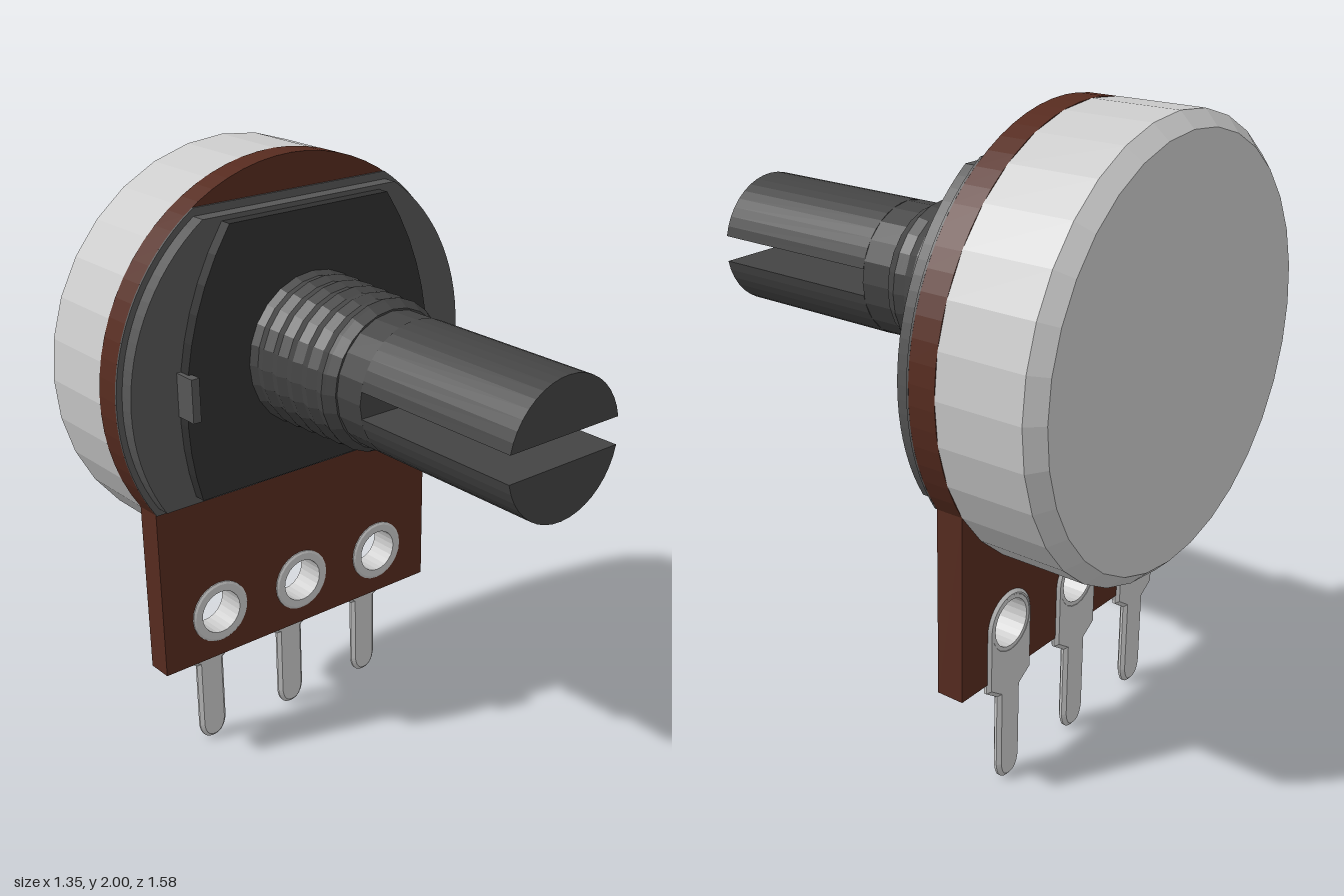
import * as THREE from 'three';

const CY = 1.325;      // centre height of the round body
const SHAFT_Y = 1.4;   // centre height of the shaft
const R = 0.675;

const material = (color) => new THREE.MeshStandardMaterial({ color, flatShading: true });
const metal = material(0xcccccc);
const brown = material(0x562b1f);
const plateGrey = material(0x575757);
const black = material(0x303030);
const shaftGrey = material(0x444444);

export function createModel() {
  const model = new THREE.Group();

  const add = (name, geometry, mat, x = 0, y = 0, z = 0) => {
    const mesh = new THREE.Mesh(geometry, mat);
    mesh.name = name;
    mesh.position.set(x, y, z);
    model.add(mesh);
    return mesh;
  };
  // Straight extrusion between two depths
  const slab = (shape, z0, z1, curveSegments = 12) =>
    new THREE.ExtrudeGeometry(shape, { depth: z1 - z0, bevelEnabled: false, curveSegments }).translate(0, 0, z0);
  // Profile of [radius, z] pairs turned around the z axis
  const turned = (profile, segments) =>
    new THREE.LatheGeometry(profile.map(([r, z]) => new THREE.Vector2(r, z)), segments).rotateX(Math.PI / 2);
  const circleHole = (x, y, r) => new THREE.Path().absarc(x, y, r, 0, Math.PI * 2, true);

  // Disc around the body centre with flat top and bottom
  const clippedDisc = (r, y0, y1) => {
    const a0 = Math.asin((y0 - CY) / r), a1 = Math.asin((y1 - CY) / r);
    const s = new THREE.Shape();
    s.absarc(0, CY, r, a0, a1, false);
    s.absarc(0, CY, r, Math.PI - a1, Math.PI - a0, false);
    s.closePath();
    return s;
  };

  // Metal can with chamfered back
  add('can', turned([[0, -0.79], [0.63, -0.79], [R, -0.745], [R, -0.468], [0, -0.468]], 32), metal, 0, CY, 0);

  // Circuit board: disc with a rectangular tongue
  const pinXs = [-0.34, 0, 0.34];
  const board = new THREE.Shape();
  const a = Math.asin((0.95 - CY) / R);
  board.moveTo(-0.56, 0.365);
  board.lineTo(0.56, 0.365);
  board.absarc(0, CY, R, a, Math.PI - a, false);
  board.closePath();
  for (const x of pinXs) board.holes.push(circleHole(x, 0.53, 0.09));
  add('board', slab(board, -0.468, -0.38, 24), brown);

  // Stepped front cover
  add('coverRim', slab(clippedDisc(R, 0.95, 1.89), -0.38, -0.373), plateGrey);
  add('cover', slab(clippedDisc(0.655, 0.975, 1.865), -0.373, -0.325), plateGrey);

  // Black face plate with bowed sides
  const bow = (y) => -0.505 + Math.sqrt(0.99 ** 2 - (y - 1.28) ** 2);
  const side = [];
  for (let i = 0; i <= 10; i++) {
    const y = 1 + 0.085 * i;
    side.push(new THREE.Vector2(bow(y), y));
  }
  const mirrored = side.map((p) => new THREE.Vector2(-p.x, p.y)).reverse();
  add('facePlate', slab(new THREE.Shape([...side, ...mirrored]), -0.325, -0.285), black);
  add('locatingTab', new THREE.BoxGeometry(0.028, 0.14, 0.08), plateGrey, -0.476, 1.35, -0.287);

  // Threaded bushing: tapering ripples ending in a chamfer
  const thread = [[0, -0.29]];
  for (let i = 0; i <= 20; i++) {
    const t = i / 20;
    thread.push([0.248 - 0.013 * t + 0.005 * Math.cos(t * Math.PI * 10), -0.29 + 0.34 * t]);
  }
  thread.push([0.234, 0.06], [0.218, 0.09], [0, 0.09]);
  add('bushing', turned(thread, 24), shaftGrey, 0, SHAFT_Y, 0);

  // Shaft root and the two halves beside the slot
  const r = 0.213;
  add('shaftRoot', turned([[0, 0.05], [r, 0.05], [r, 0.195], [0, 0.195]], 20), shaftGrey, 0, SHAFT_Y, 0);
  const cut = Math.asin(0.042 / r);
  const half = new THREE.Shape();
  half.absarc(0, 0, r, cut, Math.PI - cut, false);
  half.closePath();
  for (const [name, turn] of [['upperShaftHalf', 0], ['lowerShaftHalf', Math.PI]]) {
    add(name, slab(half, 0.195, 0.79, 9), shaftGrey, 0, SHAFT_Y, 0).rotation.z = turn;
  }

  // Terminal blade: ringed pad, shoulders, narrow rounded pin
  const blade = new THREE.Shape();
  blade.moveTo(0.105, 0.53);
  blade.absarc(0, 0.53, 0.105, 0, Math.PI, false);
  blade.lineTo(-0.105, 0.335);
  blade.lineTo(-0.053, 0.3);
  blade.lineTo(-0.053, 0.06);
  blade.quadraticCurveTo(-0.045, 0, 0, 0);
  blade.quadraticCurveTo(0.045, 0, 0.053, 0.06);
  blade.lineTo(0.053, 0.3);
  blade.lineTo(0.105, 0.335);
  blade.closePath();
  blade.holes.push(circleHole(0, 0.53, 0.077));
  const bladeGeometry = new THREE.ExtrudeGeometry(blade, {
    depth: 0.008, bevelEnabled: true, bevelThickness: 0.01, bevelSize: 0.012,
    bevelOffset: -0.012, bevelSegments: 1, curveSegments: 10,
  });
  // Eyelet: flanged tube through the board
  const eyelet = turned([
    [0.075, -0.475], [0.09, -0.475], [0.09, -0.382], [0.108, -0.382],
    [0.108, -0.376], [0.1, -0.372], [0.075, -0.372], [0.075, -0.475],
  ], 24);
  pinXs.forEach((x, i) => {
    add(`terminal${i + 1}`, bladeGeometry, metal, x, 0, -0.466);
    add(`eyelet${i + 1}`, eyelet, metal, x, 0.53, 0);
  });

  return model;
}
